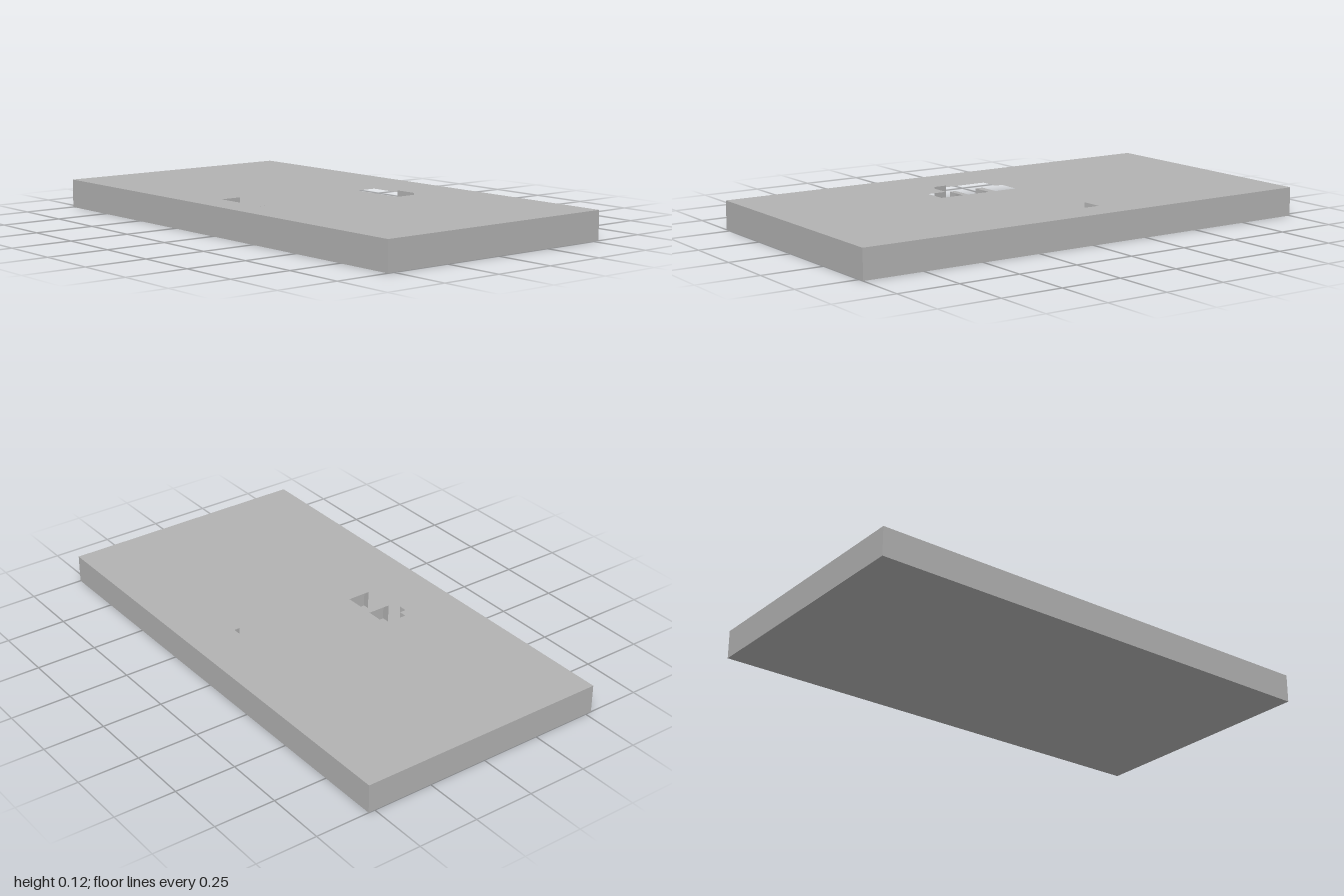
import * as THREE from 'three';

const W = 1, D = 0.527;                 // half width and half depth of the plate
const PX = 0.778, PZ = 0.306, R = 0.01; // half sizes and corner radius of the pocket
const NX = 0.122, NZ = 0.394;           // finger notches
const FLOOR = 0.015, POCKET = 0.091, TOP = 0.117;

// Outline from [x, z] pairs; z is flipped because the extrusion is laid flat
const flat = (points) => points.map(([x, z]) => new THREE.Vector2(x, -z));

// Quarter-round corner of the pocket, running from angle a through 90 degrees
function corner(sx, sz, a) {
  return [0, 1, 2, 3, 4].map((i) => {
    const t = a + (i / 4) * Math.PI / 2;
    return [sx * (PX - R) + R * Math.cos(t), sz * (PZ - R) + R * Math.sin(t)];
  });
}

// One horizontal layer of the plate with openings cut through it
function layer(name, y0, y1, openings, material) {
  const shape = new THREE.Shape(flat([[-W, -D], [W, -D], [W, D], [-W, D]]));
  openings.forEach((o) => shape.holes.push(new THREE.Path(flat(o))));
  const geometry = new THREE.ExtrudeGeometry(shape, { depth: y1 - y0, bevelEnabled: false });
  geometry.rotateX(-Math.PI / 2).translate(0, y0, 0);
  const mesh = new THREE.Mesh(geometry, material);
  mesh.name = name;
  return mesh;
}

export function createModel() {
  const grey = new THREE.MeshStandardMaterial({ color: 0xb2b2b2 });
  grey.name = 'plain grey';

  // Shallow rounded pocket, widened by a notch at the back and the front
  const pocket = [
    ...corner(1, 1, 0),
    [NX, PZ], [NX, NZ], [-NX, NZ], [-NX, PZ],
    ...corner(-1, 1, Math.PI / 2),
    ...corner(-1, -1, Math.PI),
    [-NX, -PZ], [-NX, -NZ], [NX, -NZ], [NX, -PZ],
    ...corner(1, -1, Math.PI * 1.5),
  ];

  // Deep back notch
  const backNotch = [[-NX, -NZ], [NX, -NZ], [NX, -0.302], [-NX, -0.302]];

  // Deep front notch joined to three slots, with two thin ribs between them
  const slots = [[-0.155, -0.053], [-0.02, 0.08], [0.107, 0.208]];
  const frontNotch = [];
  slots.forEach(([a, b], i) => {
    frontNotch.push([a, i === 0 ? PZ : 0.301], [a, 0.205], [b, 0.205], [b, i === 2 ? PZ : 0.301]);
  });
  frontNotch.push([NX, PZ], [NX, NZ], [-NX, NZ], [-NX, PZ]);

  const model = new THREE.Group();
  model.name = 'recessedPlate';
  model.add(
    layer('base', 0, FLOOR, [], grey),
    layer('slottedLayer', FLOOR, POCKET, [backNotch, frontNotch], grey),
    layer('pocketRim', POCKET, TOP, [pocket], grey),
  );
  return model;
}
